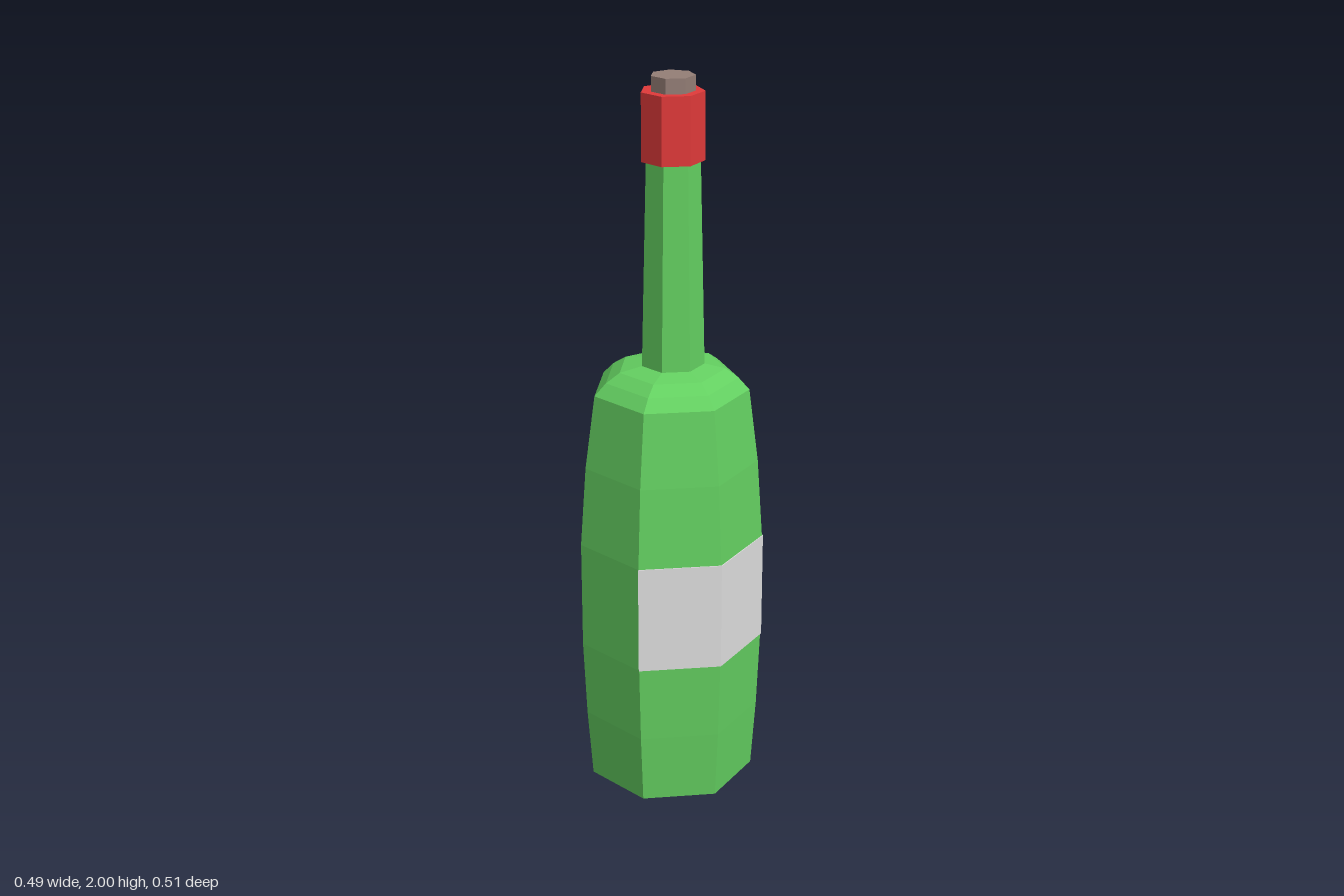
import * as THREE from 'three';

const SIDES = 7;
const STEP = (Math.PI * 2) / SIDES;

// Heptagonal lathe with a corner on +x; each ring is centred on its own width.
function ringMesh(name, profile, material, firstSide = 0, sides = SIDES) {
  const points = profile.map(([r, y]) => new THREE.Vector2(r, y));
  const start = Math.PI / 2 + firstSide * STEP;
  const lathe = new THREE.LatheGeometry(points, sides, start, sides * STEP);
  const pos = lathe.attributes.position;
  for (let i = 0; i < pos.count; i++) {
    const r = Math.hypot(pos.getX(i), pos.getZ(i));
    pos.setX(i, pos.getX(i) - 0.0495 * r);
  }
  const geometry = lathe.toNonIndexed(); // faceted normals
  geometry.computeVertexNormals();
  const mesh = new THREE.Mesh(geometry, material);
  mesh.name = name;
  return mesh;
}

export function createModel() {
  const glass = new THREE.MeshStandardMaterial({ color: 0x64d061 });
  const paper = new THREE.MeshStandardMaterial({ color: 0xdedede });
  const foil = new THREE.MeshStandardMaterial({ color: 0xe23a3a });
  const corkBrown = new THREE.MeshStandardMaterial({ color: 0x957f77 });
  glass.name = 'green glass';
  paper.name = 'label paper';
  foil.name = 'red foil';
  corkBrown.name = 'cork brown';

  const bottle = new THREE.Group();
  bottle.name = 'bottle';

  // Body with a hollow base, bulging sides and a rounded shoulder
  bottle.add(ringMesh('body', [
    [0, 0.055], [0.095, 0.055], [0.234, 0],
    [0.248, 0.2], [0.257, 0.42], [0.257, 0.725], [0.241, 0.95], [0.214, 1.155],
    [0.183, 1.188], [0.146, 1.213], [0.086, 1.225],
  ], glass));

  // Tapering neck
  bottle.add(ringMesh('neck', [[0.087, 1.2], [0.073, 1.79]], glass));

  // Label around five of the seven sides
  bottle.add(ringMesh('label', [
    [0.256, 0.42], [0.26, 0.42], [0.26, 0.725], [0.256, 0.725],
  ], paper, -2, 5));

  // Foil collar
  bottle.add(ringMesh('collar', [
    [0, 1.78], [0.085, 1.78], [0.085, 1.96], [0, 1.96],
  ], foil));

  // Cork
  bottle.add(ringMesh('cork', [[0.059, 1.95], [0.059, 2], [0, 2]], corkBrown));

  return bottle;
}
